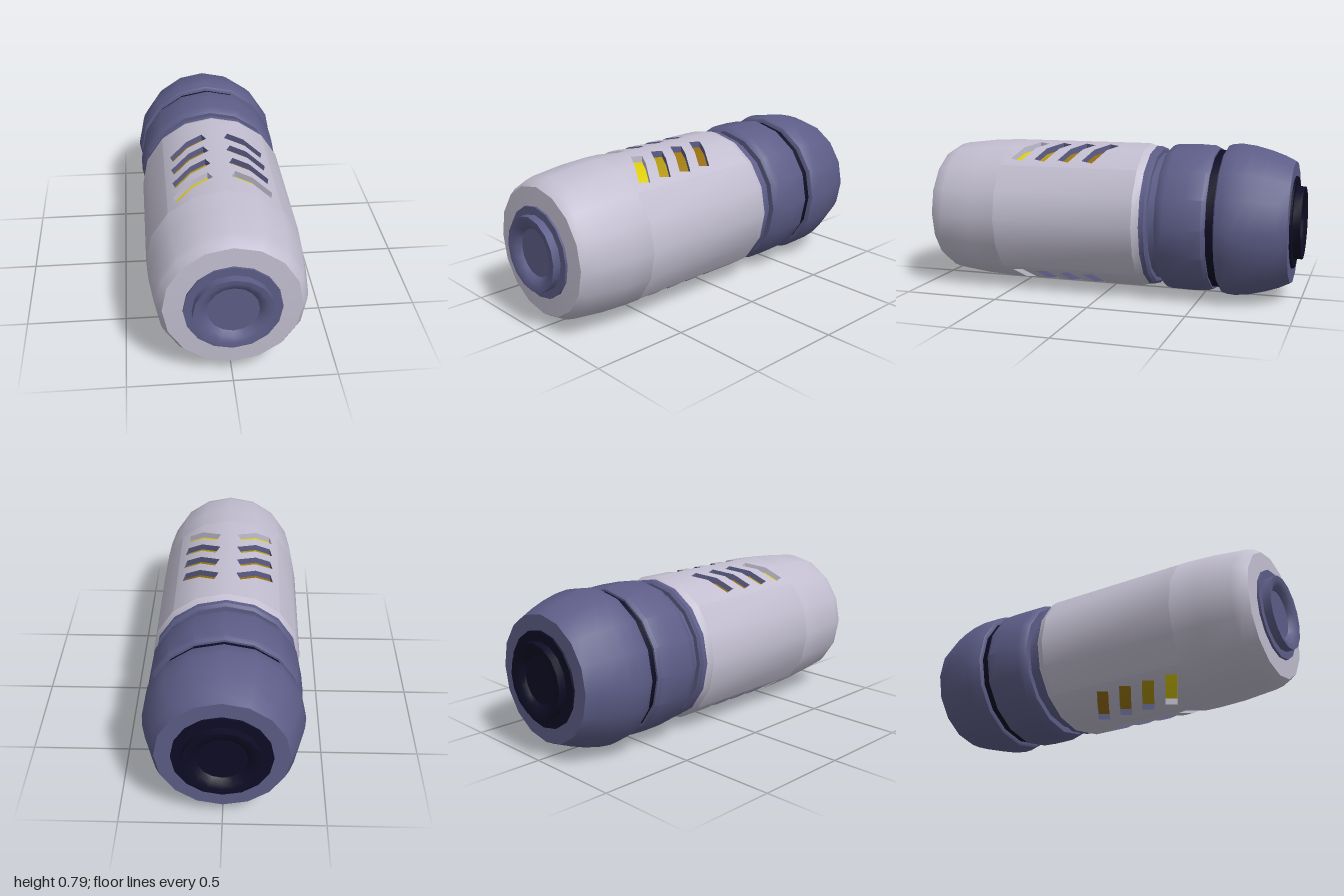
import * as THREE from 'three';
import { toCreasedNormals, mergeGeometries } from 'three/addons/utils/BufferGeometryUtils.js';

const mat = (name, color, side = THREE.FrontSide) => {
  const m = new THREE.MeshStandardMaterial({ color, side });
  m.name = name;
  return m;
};

// Shell dimensions: 16 sides with a corner straight up
const SIDES = 16, STEP = (Math.PI * 2) / SIDES, R = 0.383;
const Z0 = -0.19, Z1 = 0.56, ROWS = 4, PITCH = 0.132, DEPTH = 0.032;
const S = R * Math.sin(STEP), E = R * Math.sin(2 * STEP);
const YS = R * Math.cos(STEP), YE = R * Math.cos(2 * STEP);

// Height of the faceted outline at a given x
const outline = (x) => {
  const a = Math.abs(x);
  return a < S ? R + (a / S) * (YS - R) : YS + ((a - S) / (E - S)) * (YE - YS);
};

// Slanted slot corners in (x, z), with the points where it crosses the facet edge
function slot(row) {
  const dz = row * PITCH;
  return {
    a: [0.068, -0.035 + dz], mu: [S, 0.008 + dz], b: [0.238, 0.06 + dz],
    c: [0.225, 0.12 + dz], ml: [S, 0.076 + dz], d: [0.046, 0.021 + dz],
  };
}

// Solid of revolution along z, from [radius, z] points in outward order
function turned(profile, start = 0, count = SIDES) {
  const pts = profile.map(([r, z]) => new THREE.Vector2(r, z));
  const g = new THREE.LatheGeometry(pts, count, start * STEP, count * STEP);
  g.rotateX(Math.PI / 2);
  return toCreasedNormals(g, 0.6);
}

// Flat polygon in (x, z) laid onto the faceted outline, lowered by drop
function panel(points, sx, drop = 0) {
  const shape = new THREE.Shape(points.map(([x, z]) => new THREE.Vector2(sx * x, -z)));
  const g = new THREE.ShapeGeometry(shape);
  const p = g.attributes.position, n = g.attributes.normal;
  for (let i = 0; i < p.count; i++) {
    const x = p.getX(i), z = -p.getY(i), y = outline(x), len = Math.hypot(x, y);
    p.setXYZ(i, x, y - drop, z);
    n.setXYZ(i, x / len, y / len, 0);
  }
  return g;
}

// Upright walls of one slot, facing into the slot
function slotWalls(row, sx) {
  const s = slot(row);
  const loop = [s.a, s.mu, s.b, s.c, s.ml, s.d].map(([x, z]) => [sx * x, outline(x), z]);
  if (sx < 0) loop.reverse();
  const pos = [];
  loop.forEach((p, i) => {
    const q = loop[(i + 1) % loop.length];
    const pl = [p[0], p[1] - DEPTH, p[2]], ql = [q[0], q[1] - DEPTH, q[2]];
    pos.push(...pl, ...ql, ...q, ...pl, ...q, ...p);
  });
  const g = new THREE.BufferGeometry();
  g.setAttribute('position', new THREE.Float32BufferAttribute(pos, 3));
  g.computeVertexNormals();
  return g;
}

export function createModel() {
  const model = new THREE.Group();
  model.name = 'canister';
  const body = new THREE.Group();
  body.name = 'body';
  body.position.y = 0.395;
  model.add(body);

  const grey = mat('pale grey shell', 0xc2bed0);
  const blue = mat('slate blue', 0x5d5d88);
  const black = mat('near black', 0x0e0c24);
  const glows = [0x946c10, 0x9c7810, 0xb09610, 0xdccc08].map((c, i) => mat('amber ' + (i + 1), c));

  const add = (name, geometry, material, parent = body) => {
    const m = new THREE.Mesh(geometry, material);
    m.name = name;
    parent.add(m);
    return m;
  };

  // Shell ends and plain side walls
  add('shellFront', turned([[R, Z1], [0.376, 0.7], [0.356, 0.87], [0.346, 0.91], [0.322, 0.945], [0.2, 0.95]]), grey);
  add('shellRear', turned([[0.3, -0.23], [0.368, -0.23], [R, Z0]]), grey);
  for (const start of [2, 10]) add('shellSide', turned([[R, Z0], [R, Z1]], start, 4), grey);

  // Slotted top and bottom of the shell
  const rows = [...Array(ROWS).keys()];
  for (const [name, turn] of [['topVents', 0], ['bottomVents', Math.PI]]) {
    const vents = new THREE.Group();
    vents.name = name;
    vents.rotation.z = turn;
    body.add(vents);
    for (const sx of [1, -1]) {
      const inner = [[0, Z0], [S, Z0]], outer = [[E, Z1], [E, Z0], [S, Z0]];
      for (const r of rows) {
        const s = slot(r);
        inner.push(s.mu, s.a, s.d, s.ml);
        outer.push(s.mu, s.b, s.c, s.ml);
      }
      inner.push([S, Z1], [0, Z1]);
      outer.push([S, Z1]);
      add('ventPanel', mergeGeometries([panel(inner, sx), panel(outer, sx)]), grey, vents);

      for (const r of rows) {
        const s = slot(r);
        add('ventWalls', slotWalls(r, sx), r === ROWS - 1 ? grey : blue, vents);
        add('ventFloor', mergeGeometries([
          panel([s.a, s.mu, s.ml, s.d], sx, DEPTH),
          panel([s.mu, s.b, s.c, s.ml], sx, DEPTH),
        ]), glows[r], vents);
      }
    }
  }

  // Front nozzle with a dished centre
  add('frontNozzle', turned([[0.228, 0.945], [0.228, 0.96], [0.188, 0.96], [0.188, 1],
    [0.165, 0.998], [0.14, 0.988], [0.122, 0.968], [0.12, 0.965], [0, 0.965]]), blue);

  // Collar, neck and middle ring
  add('collar', turned([[0.3, -0.262], [0.355, -0.262], [0.37, -0.25], [0.37, -0.225]]), blue);
  add('neck', turned([[0.332, -0.32], [0.332, -0.25]]), blue);
  add('middleRing', turned([[0.33, -0.56], [0.37, -0.56], [0.382, -0.54], [0.386, -0.46],
    [0.384, -0.35], [0.376, -0.32], [0.362, -0.303], [0.3, -0.303]]), blue);

  // Dark groove between the ring and the rear cap
  add('groove', turned([[0.36, -0.61], [0.36, -0.55]]), black);

  // Rounded rear cap
  add('rearCap', turned([[0.2, -0.95], [0.315, -0.95], [0.34, -0.9], [0.365, -0.83],
    [0.386, -0.75], [0.395, -0.68], [0.392, -0.635], [0.382, -0.607], [0.37, -0.6], [0.3, -0.6]]), blue);

  // Dark rear nozzle with a dished centre
  add('rearNozzle', turned([[0, -0.965], [0.12, -0.965], [0.122, -0.968], [0.14, -0.988],
    [0.165, -0.998], [0.188, -1], [0.188, -0.96], [0.238, -0.96], [0.238, -0.945]]), black);

  return model;
}
